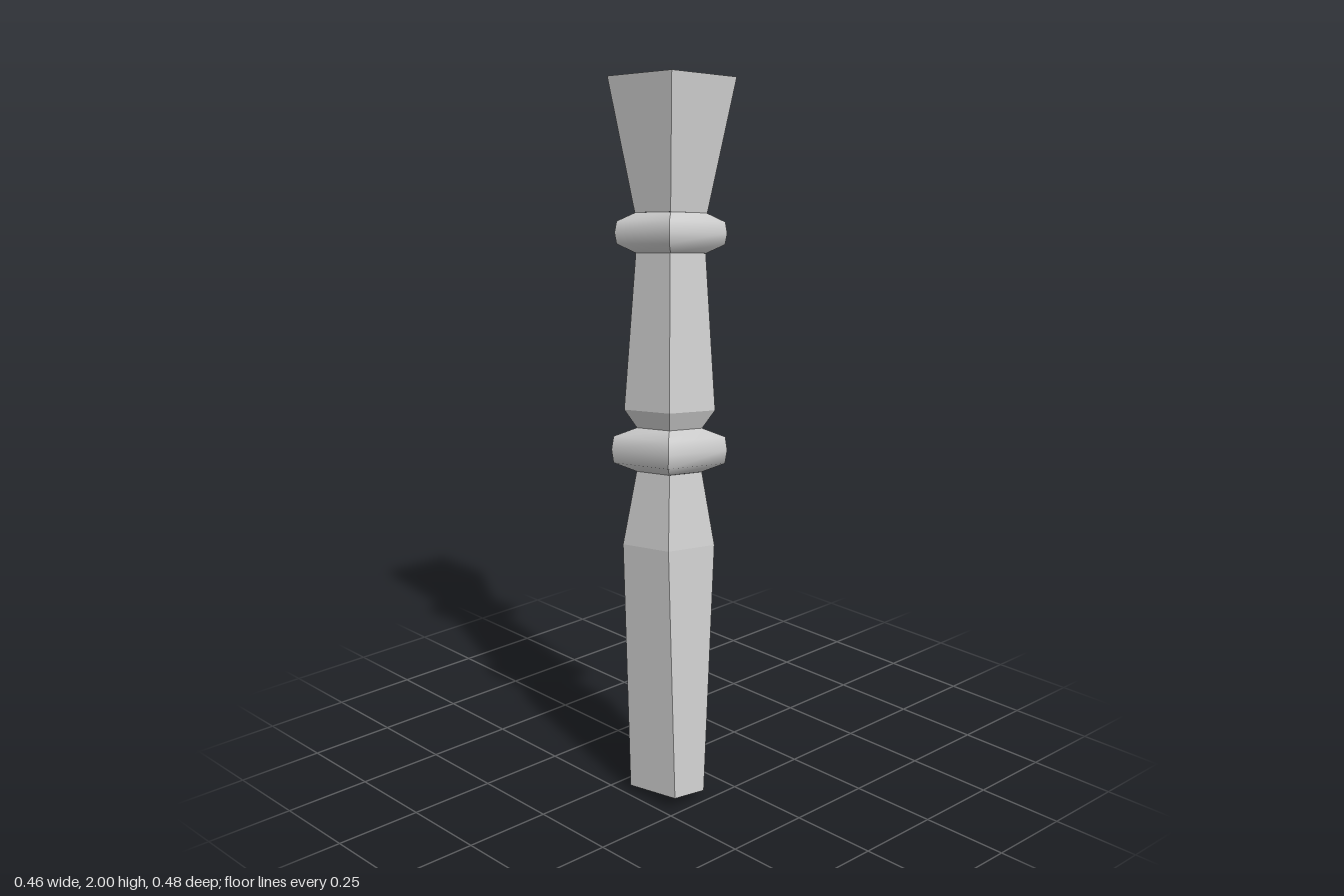
import * as THREE from 'three';
import { mergeGeometries } from 'three/addons/utils/BufferGeometryUtils.js';

const LENGTH = 1.984;

// Four separate side strips of a rectangular section, so corners stay sharp.
// Each station is [distance along the leg, half width, half depth].
function squareTurned(stations) {
  const corners = [[-1, 1], [1, 1], [1, -1], [-1, -1]];
  const sides = corners.map((c, i) => {
    const n = corners[(i + 1) % 4];
    const positions = [], index = [];
    stations.forEach(([t, hx, hz], k) => {
      positions.push(c[0] * hx, t, c[1] * hz, n[0] * hx, t, n[1] * hz);
      if (k > 0) {
        const a = 2 * k - 2;
        index.push(a, a + 1, a + 3, a, a + 3, a + 2);
      }
    });
    const g = new THREE.BufferGeometry();
    g.setAttribute('position', new THREE.Float32BufferAttribute(positions, 3));
    g.setIndex(index);
    g.computeVertexNormals();
    return g;
  });
  return mergeGeometries(sides);
}

export function createModel() {
  const model = new THREE.Group();
  model.name = 'turnedLeg';
  const leg = new THREE.Group();
  leg.name = 'leaningLeg';
  model.add(leg);

  const flat = new THREE.MeshStandardMaterial({ color: 0xcccccc, flatShading: true });
  const smooth = new THREE.MeshStandardMaterial({ color: 0xcccccc });

  const add = (name, geometry, material) => {
    const mesh = new THREE.Mesh(geometry, material);
    mesh.name = name;
    leg.add(mesh);
    return mesh;
  };

  // Tapered shaft sections
  add('lowerShaft', squareTurned([[0, 0.057, 0.089], [0.695, 0.09, 0.09], [0.9, 0.063, 0.065]]), flat);
  add('middleShaft', squareTurned([[1.022, 0.064, 0.064], [1.072, 0.089, 0.089], [1.505, 0.069, 0.067]]), flat);
  add('upperBlock', squareTurned([[1.615, 0.071, 0.07], [LENGTH, 0.125, 0.125]]), flat);

  // Softly shaded collars between the shaft sections
  const collar = (name, low, high, inner, outerX, outerZ) => {
    const lip = 0.024;
    add(name, squareTurned([
      [low, inner, inner],
      [low + lip, outerX - 0.004, outerZ - 0.004],
      [(low + high) / 2, outerX, outerZ],
      [high - lip, outerX - 0.004, outerZ - 0.004],
      [high, inner, inner],
    ]), smooth);
  };
  collar('lowerCollar', 0.9, 1.022, 0.064, 0.115, 0.112);
  collar('upperCollar', 1.505, 1.615, 0.069, 0.112, 0.107);

  // End faces
  add('topFace', new THREE.PlaneGeometry(0.25, 0.25).rotateX(-Math.PI / 2).translate(0, LENGTH, 0), flat);
  add('footFace', new THREE.PlaneGeometry(0.114, 0.178).rotateX(Math.PI / 2), flat);

  // Lean the leg to its left and backward
  const along = new THREE.Vector3(0.27, 1.944, -0.265).normalize();
  const across = new THREE.Vector3(0.99, -0.139, -0.016);
  across.addScaledVector(along, -across.dot(along)).normalize();
  const front = new THREE.Vector3().crossVectors(across, along);
  leg.quaternion.setFromRotationMatrix(new THREE.Matrix4().makeBasis(across, along, front));
  leg.position.set(-0.17, 0.021, 0.149);

  return model;
}
